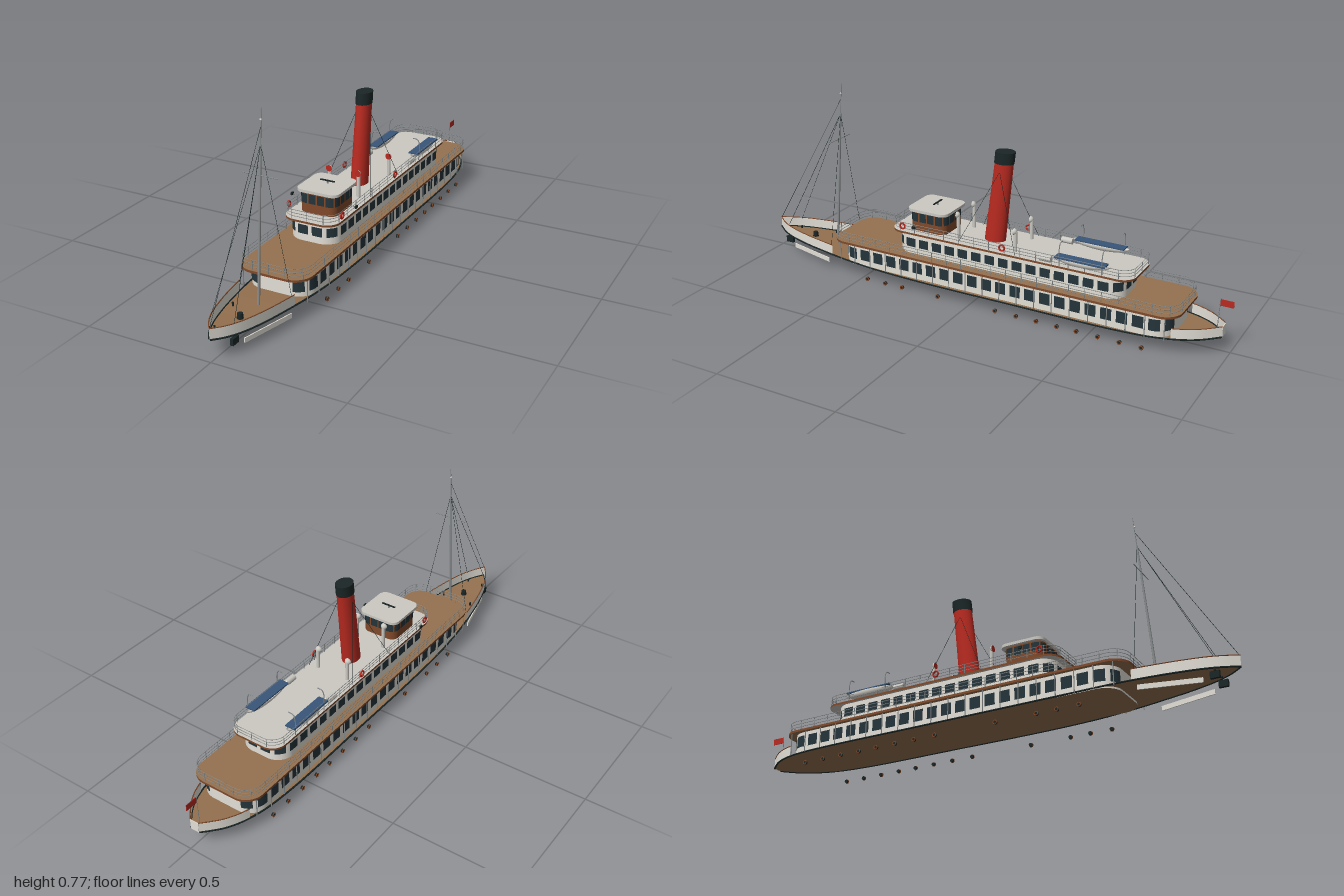
import * as THREE from 'three';
import { mergeGeometries } from 'three/addons/utils/BufferGeometryUtils.js';

const paint = (name, color, double) => {
  const m = new THREE.MeshStandardMaterial({ color });
  m.name = name;
  if (double) m.side = THREE.DoubleSide;
  return m;
};
const V = (x, y, z) => new THREE.Vector3(x, y, z);

export function createModel() {
  const ship = new THREE.Group();
  ship.name = 'steamship';
  const white = paint('white', 0xe2dfd6, true);
  const grey = paint('roofGrey', 0xcbc9c2);
  const deck = paint('deckBrown', 0x94714f, true);
  const wood = paint('wood', 0x80492a);
  const red = paint('red', 0xb82a20, true);
  const dark = paint('black', 0x1b2626);
  const glass = paint('glass', 0x24343a, true);
  const blue = paint('blue', 0x385578);
  const metal = paint('metal', 0x8a8e8e);

  const add = (name, geo, mat, x = 0, y = 0, z = 0) => {
    const m = new THREE.Mesh(geo, mat);
    m.name = name;
    m.position.set(x, y, z);
    ship.add(m);
    return m;
  };
  const box = (w, h, d) => new THREE.BoxGeometry(w, h, d);

  // Straight rod between two points
  const rod = (a, b, r, r2 = r, sides = 6) => {
    const d = b.clone().sub(a);
    const g = new THREE.CylinderGeometry(r2, r, d.length(), sides);
    g.applyQuaternion(new THREE.Quaternion().setFromUnitVectors(V(0, 1, 0), d.normalize()));
    return g.translate((a.x + b.x) / 2, (a.y + b.y) / 2, (a.z + b.z) / 2);
  };
  // Surface through rows of points
  const sheet = (rows) => {
    const n = rows[0].length, idx = [];
    for (let i = 0; i < rows.length - 1; i++)
      for (let j = 0; j < n - 1; j++) {
        const a = i * n + j, b = a + n;
        idx.push(a, b, a + 1, a + 1, b, b + 1);
      }
    const g = new THREE.BufferGeometry().setFromPoints(rows.flat());
    g.setIndex(idx);
    g.computeVertexNormals();
    return g;
  };
  // Rounded plan outline; shape y is -z
  const plan = (hw, zBack, zFront, r) => {
    const s = new THREE.Shape(), t = -zBack, b = -zFront, q = Math.PI / 2;
    s.moveTo(0, b).lineTo(hw - r, b);
    s.absarc(hw - r, b + r, r, -q, 0).lineTo(hw, t - r);
    s.absarc(hw - r, t - r, r, 0, q).lineTo(-hw + r, t);
    s.absarc(-hw + r, t - r, r, q, 2 * q).lineTo(-hw, b + r);
    s.absarc(-hw + r, b + r, r, 2 * q, 3 * q).lineTo(0, b);
    return s;
  };
  const slab = (name, shape, y0, y1, cap, side) => {
    const g = new THREE.ExtrudeGeometry(shape, { depth: y1 - y0, bevelEnabled: false, curveSegments: 12 });
    add(name, g.rotateX(-Math.PI / 2), [cap, side], 0, y0, 0);
  };
  // Window panes that follow the outline
  const windows = (name, shape, n, fill, y0, y1, keep = () => true) => {
    const panes = [];
    for (let i = 0; i < n; i++) {
      const mid = shape.getPoint((i + 0.5) / n);
      if (!keep(mid.x, -mid.y)) continue;
      const rows = [0, 1, 2, 3, 4].map((k) => {
        const p = shape.getPoint((i + 0.5 + fill * (k / 4 - 0.5)) / n);
        return [V(p.x, y0, -p.y), V(p.x, y1, -p.y)];
      });
      panes.push(sheet(rows));
    }
    add(name, mergeGeometries(panes), glass);
  };
  const posts = (name, shape, n, y0, y1, r, keep = () => true) => {
    const pts = shape.getSpacedPoints(n).slice(0, n).filter((p) => keep(p.x));
    add(name, mergeGeometries(pts.map((p) => rod(V(p.x, y0, -p.y), V(p.x, y1, -p.y), r, r, 5))), metal);
  };
  const railing = (name, shape, n, y0, y1) => {
    posts(name + 'Stanchions', shape, n, y0, y1, 0.0014);
    const pts = shape.getSpacedPoints(160).slice(0, 160);
    const bars = [0.33, 0.66, 1].map((k) => new THREE.TubeGeometry(
      new THREE.CatmullRomCurve3(pts.map((p) => V(p.x, y0 + (y1 - y0) * k, -p.y)), true), 200, 0.0013, 4, true));
    add(name + 'Bars', mergeGeometries(bars), metal);
  };

  // Main deck with sheer, edge strake and bulwarks
  const edge = new THREE.CatmullRomCurve3([
    [0.018, 0.063, -0.97], [0.045, 0.062, -0.94], [0.076, 0.061, -0.9], [0.105, 0.06, -0.84],
    [0.127, 0.058, -0.75], [0.139, 0.056, -0.6], [0.14, 0.055, -0.2], [0.14, 0.055, 0.2],
    [0.134, 0.058, 0.42], [0.122, 0.064, 0.58], [0.108, 0.068, 0.68], [0.086, 0.072, 0.8],
    [0.058, 0.076, 0.9], [0.032, 0.079, 0.955], [0, 0.083, 1],
  ].map((p) => V(...p))).getSpacedPoints(120);
  add('mainDeck', sheet(edge.map((p) => [V(-p.x, p.y, p.z), p])), deck);
  const bowEdge = edge.filter((p) => p.z > 0.645), sternEdge = edge.filter((p) => p.z < -0.8);
  for (const s of [1, -1]) {
    const side = (pts, dy = 0) => pts.map((p) => V(p.x * s, p.y + dy, p.z));
    const line = (pts, r) => new THREE.TubeGeometry(new THREE.CatmullRomCurve3(pts), pts.length * 2, r, 6);
    add('rubbingStrake', line(side(edge), 0.0035), dark);
    for (const [name, pts] of [['bowBulwark', bowEdge], ['sternBulwark', sternEdge]]) {
      add(name, sheet(side(pts).map((p) => [p, V(p.x, p.y + 0.041, p.z)])), white);
      add(name + 'Cap', line(side(pts, 0.042), 0.002), wood);
    }
  }
  add('sternPlate', box(0.036, 0.041, 0.003), white, 0, 0.083, -0.97);

  // Main deckhouse
  slab('mainHouse', plan(0.126, -0.81, 0.595, 0.07), 0.057, 0.144, deck, white);
  windows('mainHouseWindows', plan(0.128, -0.812, 0.597, 0.072), 52, 0.7, 0.082, 0.128,
    (x) => Math.abs(x) > 0.05);

  // Promenade deck
  slab('promenadeDeck', plan(0.141, -0.84, 0.64, 0.07), 0.143, 0.152, deck, wood);
  const promenadeEdge = plan(0.136, -0.835, 0.635, 0.066);
  posts('deckPosts', promenadeEdge, 46, 0.056, 0.144, 0.002, (x) => Math.abs(x) > 0.13);
  railing('promenadeRailing', promenadeEdge, 52, 0.152, 0.191);

  // Upper deckhouse and boat deck
  slab('upperHouse', plan(0.1, -0.615, 0.345, 0.065), 0.152, 0.235, white, white);
  windows('upperHouseWindows', plan(0.102, -0.617, 0.347, 0.067), 38, 0.72, 0.18, 0.216,
    (x) => Math.abs(x) > 0.02);
  slab('boatDeck', plan(0.11, -0.655, 0.37, 0.055), 0.234, 0.242, grey, wood);
  railing('boatDeckRailing', plan(0.107, -0.652, 0.367, 0.053), 36, 0.242, 0.278);

  // Wheelhouse
  slab('wheelhouse', plan(0.075, 0.137, 0.295, 0.03), 0.242, 0.323, wood, wood);
  windows('wheelhouseWindows', plan(0.0765, 0.1355, 0.2965, 0.0315), 16, 0.82, 0.279, 0.316);
  slab('wheelhouseRoof', plan(0.087, 0.125, 0.303, 0.03), 0.322, 0.333, grey, grey);
  add('radarPost', rod(V(0, 0.333, 0.21), V(0, 0.345, 0.21), 0.003), metal);
  add('radarBar', box(0.06, 0.004, 0.006), dark, 0, 0.345, 0.21);

  // Raked oval funnel
  const rake = new THREE.Matrix4().set(1, 0, 0, 0, 0, 1, 0, 0, 0, -0.115, 1.3, 0, 0, 0, 0, 1);
  const funnelPart = (r0, r1, y0, y1) => new THREE.CylinderGeometry(r1, r0, y1 - y0, 32)
    .translate(0, (y0 + y1) / 2 - 0.242, 0).applyMatrix4(rake);
  add('funnel', funnelPart(0.033, 0.029, 0.242, 0.562), red, 0, 0.242, -0.048);
  add('funnelTop', funnelPart(0.031, 0.031, 0.56, 0.606), dark, 0, 0.242, -0.048);

  // Mast, yard and rigging
  add('mast', rod(V(0, 0.068, 0.705), V(0, 0.64, 0.66), 0.0055, 0.0035, 8), metal);
  add('topmast', rod(V(0, 0.64, 0.66), V(0, 0.765, 0.65), 0.002, 0.001), metal);
  add('mastLight', new THREE.SphereGeometry(0.004, 8, 6), white, 0, 0.725, 0.655);
  add('yard', rod(V(-0.068, 0.533, 0.669), V(0.068, 0.533, 0.669), 0.0018), metal);
  const stays = [[V(0, 0.7, 0.656), V(0, 0.124, 0.998)]];
  for (const s of [1, -1]) {
    stays.push([V(0, 0.64, 0.66), V(0.105 * s, 0.107, 0.66)]);
    stays.push([V(0, 0.64, 0.66), V(0.046 * s, 0.116, 0.925)]);
    stays.push([V(0.028 * s, 0.53, -0.08), V(0.102 * s, 0.242, 0.06)]);
    stays.push([V(0.028 * s, 0.53, -0.08), V(0.102 * s, 0.242, -0.185)]);
  }
  add('rigging', mergeGeometries(stays.map(([a, b]) => rod(a, b, 0.0008, 0.0008, 4))), dark);

  // Foredeck fittings
  add('windlass', new THREE.CylinderGeometry(0.01, 0.012, 0.02, 12), dark, 0, 0.083, 0.82);

  // Stern flag
  add('flagstaff', rod(V(0, 0.063, -0.945), V(0, 0.203, -0.95), 0.0015), metal);
  add('flag', box(0.002, 0.025, 0.05), red, 0, 0.188, -0.975);

  const portholeZ = [0.465, 0.38, 0.3, 0.135, -0.12, -0.21, -0.295, -0.38, -0.46, -0.545, -0.63, -0.715];
  for (const s of [1, -1]) {
    // Cowl ventilators
    for (const [x, y, z] of [[0.062, 0.338, 0.08], [0.068, 0.322, -0.17]]) {
      add('ventPipe', rod(V(x * s, 0.242, z), V(x * s, y, z), 0.007, 0.007, 12), grey);
      add('ventCowl', new THREE.SphereGeometry(0.013, 14, 8, 0, Math.PI * 2, 0, Math.PI / 2)
        .rotateX(-Math.PI / 2), grey, x * s, y, z + 0.007);
      add('ventMouth', new THREE.CircleGeometry(0.013, 16), red, x * s, y, z + 0.007);
    }
    // Lifebuoys
    for (const z of [0.305, -0.135])
      add('lifebuoy', new THREE.TorusGeometry(0.011, 0.0035, 8, 18).rotateY(Math.PI / 2), red, 0.112 * s, 0.265, z);
    // Lifeboats with covers and davits
    add('lifeboat', new THREE.SphereGeometry(1, 20, 8, 0, Math.PI * 2, Math.PI / 2, Math.PI / 2)
      .scale(0.023, 0.025, 0.115), white, 0.09 * s, 0.272, -0.45);
    add('lifeboatCover', box(0.042, 0.005, 0.2), blue, 0.091 * s, 0.274, -0.45);
    for (const z of [-0.37, -0.54])
      add('davit', new THREE.TubeGeometry(new THREE.CatmullRomCurve3([V(0.107 * s, 0.242, z),
        V(0.108 * s, 0.31, z), V(0.1 * s, 0.33, z), V(0.08 * s, 0.332, z)]), 14, 0.002, 6), metal);
    add('raftCanister', new THREE.CylinderGeometry(0.012, 0.012, 0.045, 14).rotateX(Math.PI / 2),
      grey, 0.095 * s, 0.255, -0.31);
    // Side lamps
    add('sideLamp', box(0.006, 0.01, 0.014), dark, 0.135 * s, 0.278, 0.24);
    add('lampBracket', rod(V(0.107 * s, 0.277, 0.24), V(0.135 * s, 0.277, 0.24), 0.0012), metal);
    // Portholes
    for (const z of portholeZ) {
      add('portholeRim', new THREE.TorusGeometry(0.007, 0.002, 6, 16).rotateY(Math.PI / 2), wood, 0.138 * s, 0.009, z);
      add('portholeGlass', new THREE.CylinderGeometry(0.007, 0.007, 0.008, 16).rotateZ(Math.PI / 2),
        dark, 0.134 * s, 0.009, z);
    }
    // Bow boards and anchors
    const board = add('bowBoard', box(0.004, 0.018, 0.221), white, 0.084 * s, 0.038, 0.778);
    board.rotation.y = -s * Math.atan2(0.053, 0.215);
    add('anchor', box(0.012, 0.025, 0.034), dark, 0.043 * s, 0.054, 0.922);
    // Bollards
    for (const [x, z] of [[0.068, 0.76], [0.035, 0.92]])
      add('bollard', new THREE.CylinderGeometry(0.004, 0.004, 0.014, 8), dark, x * s, 0.08, z);
  }
  return ship;
}
